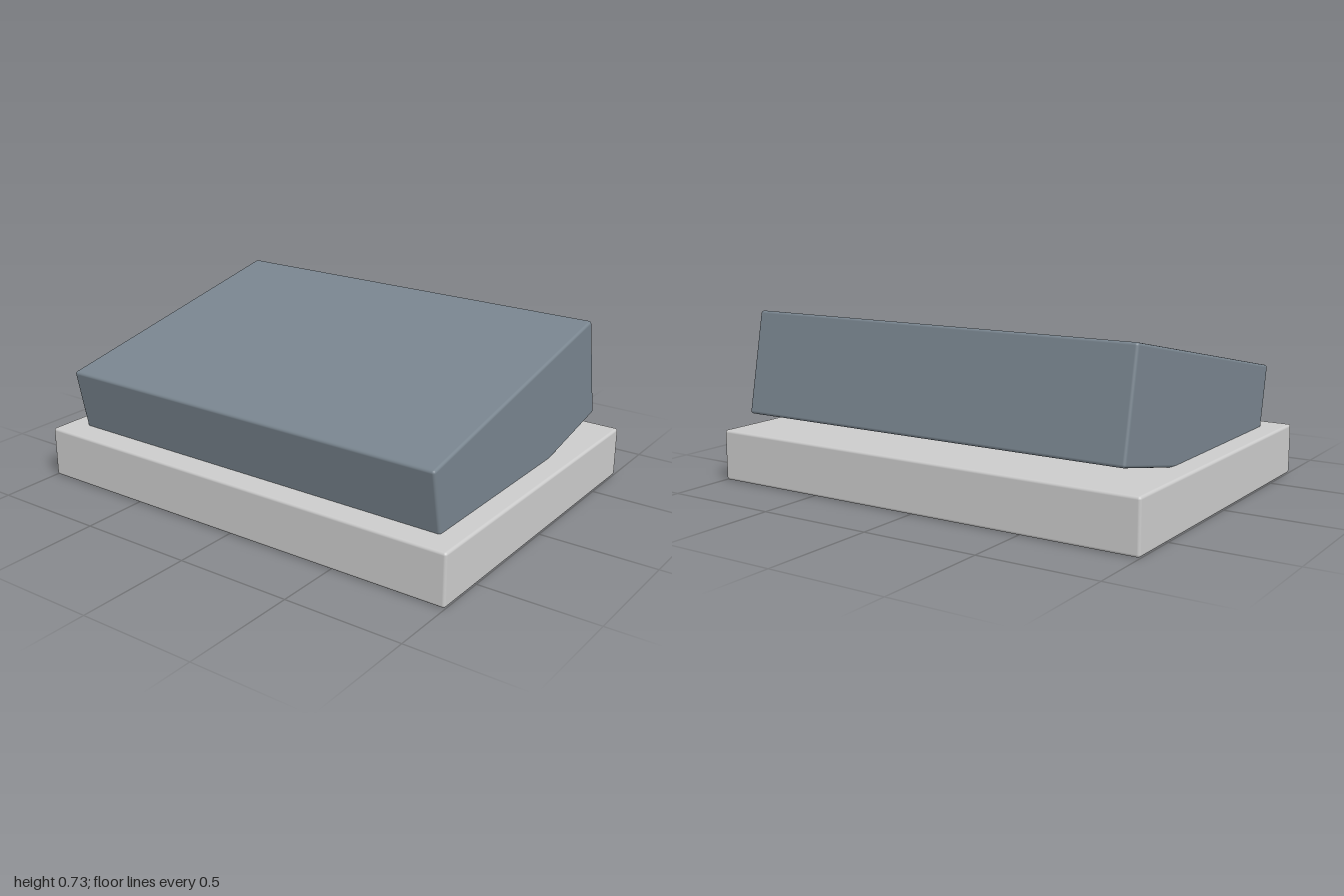
import * as THREE from 'three';
import { RoundedBoxGeometry } from 'three/addons/geometries/RoundedBoxGeometry.js';

// Box with narrow softened edges
function softBox(name, size, bevel, color) {
  const mesh = new THREE.Mesh(
    new RoundedBoxGeometry(...size, 2, bevel),
    new THREE.MeshStandardMaterial({ color })
  );
  mesh.name = name;
  return mesh;
}

export function createModel() {
  const model = new THREE.Group();
  model.name = 'rockerSwitch';

  // Flat rectangular housing
  const base = softBox('base', [2, 0.22, 1.45], 0.012, 0xcccccc);
  base.position.y = 0.11;

  // Tilted rocker, its front edge sunk into the housing
  const rocker = softBox('rocker', [1.81, 0.444, 1.265], 0.012, 0x78848e);
  rocker.position.set(0, 0.388, 0);
  rocker.rotation.x = 0.197;

  model.add(base, rocker);
  return model;
}
